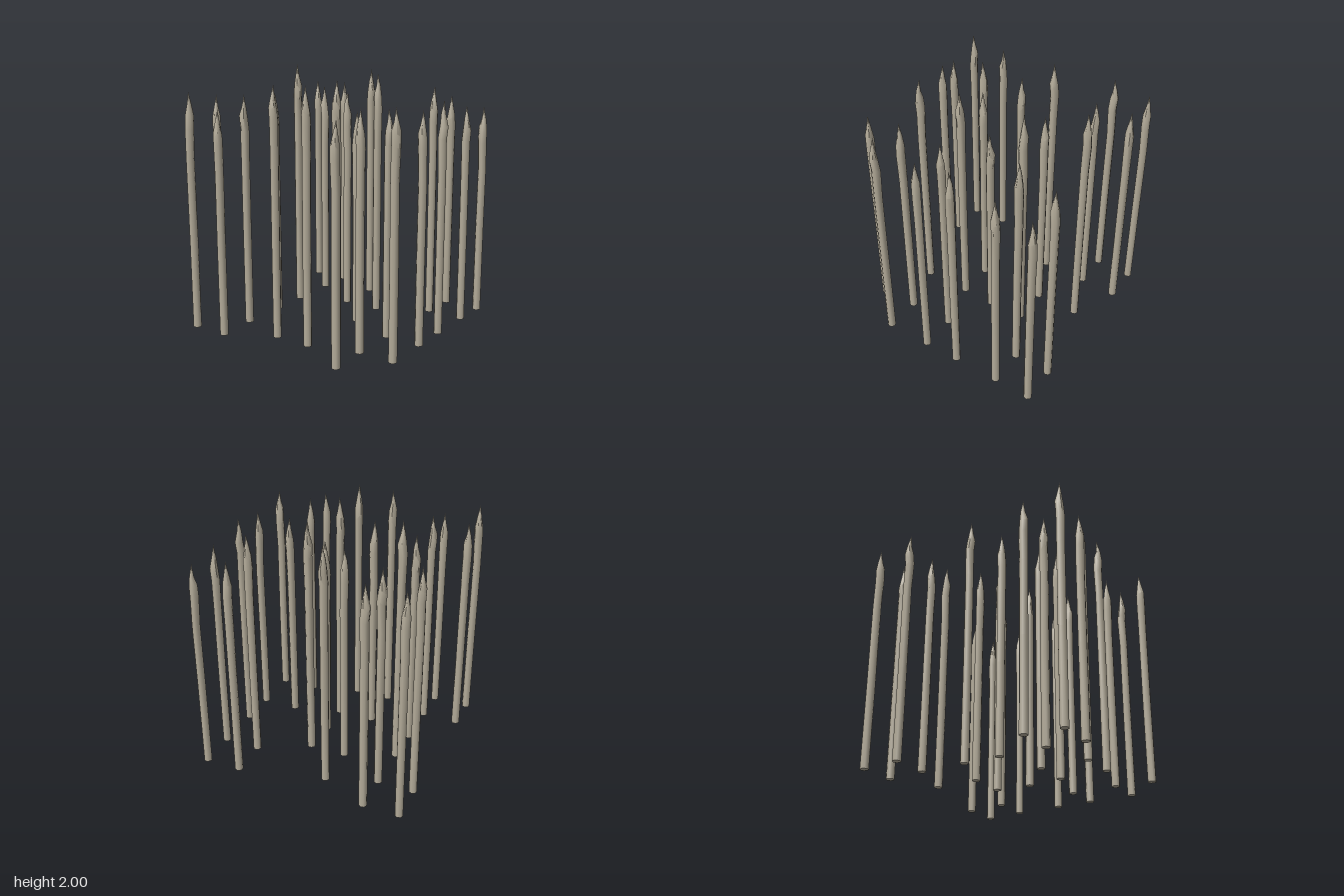
import * as THREE from 'three';
import { toCreasedNormals } from 'three/addons/utils/BufferGeometryUtils.js';

// Rows of stakes: z, then [x, tip height] pairs
const ROWS = [
  [-0.815, [[-0.81, 1.85], [-0.515, 1.8], [0.51, 1.85], [0.8, 1.8]]],
  [-0.53, [[-0.81, 1.74], [-0.515, 1.82], [-0.15, 1.79], [0.14, 2], [0.51, 1.79], [0.8, 1.8]]],
  [-0.15, [[-0.63, 1.93], [-0.255, 1.81], [0.3, 1.79], [0.645, 1.94]]],
  [0.14, [[-0.63, 1.94], [-0.255, 1.95], [0.01, 1.69], [0.3, 1.95]]],
  [0.525, [[-0.81, 1.76], [-0.515, 1.8], [-0.15, 1.76], [0.51, 1.86], [0.8, 1.76]]],
  [0.81, [[-0.515, 1.83], [-0.15, 1.77], [0.14, 1.81], [0.51, 1.73], [0.8, 1.69]]],
];

function seeded(seed) {
  return () => {
    seed = (seed * 16807) % 2147483647;
    return seed / 2147483647;
  };
}

// Straight shaft, slightly crooked hewn head, sharpened point
function stakeGeometry(base, tip, rand) {
  const profile = [
    [0, base], [0.032, base], [0.032, base + 0.7], [0.032, tip - 0.5],
    [0.034, tip - 0.27], [0.033, tip - 0.18], [0.018, tip - 0.1], [0, tip],
  ].map(([r, y]) => new THREE.Vector2(r, y));
  const sides = 8;
  const geo = new THREE.LatheGeometry(profile, sides, rand() * Math.PI);
  const pos = geo.attributes.position;
  const rings = profile.length;
  // one sideways offset per ring and one height offset per side for the hewn cuts
  const amount = [0, 0, 0, 0.003, 0.006, 0.006, 0.005, 0.004];
  const shift = amount.map((a) => [(rand() * 2 - 1) * a, (rand() * 2 - 1) * a]);
  const lift = Array.from({ length: sides }, () => (rand() * 2 - 1) * 0.025);
  for (let i = 0; i < pos.count; i++) {
    const ring = i % rings;
    const side = Math.floor(i / rings) % sides;
    const cut = ring > 2 && ring < 6 ? lift[side] : 0;
    pos.setXYZ(i, pos.getX(i) + shift[ring][0], pos.getY(i) + cut, pos.getZ(i) + shift[ring][1]);
  }
  return toCreasedNormals(geo, 0.85);
}

export function createModel() {
  const model = new THREE.Group();
  model.name = 'stakeField';
  const wood = new THREE.MeshStandardMaterial({ color: 0xb3ab99 });
  const rand = seeded(4711);

  for (const [z, stakes] of ROWS) {
    const row = new THREE.Group();
    row.name = 'stakeRow';
    row.position.z = z;
    for (const [x, tip] of stakes) {
      const base = Math.abs(x) > 0.7 || Math.abs(x) < 0.13 ? 0 : 0.01;
      const stake = new THREE.Mesh(stakeGeometry(base, tip, rand), wood);
      stake.name = 'stake';
      stake.position.x = x;
      row.add(stake);
    }
    model.add(row);
  }
  return model;
}
